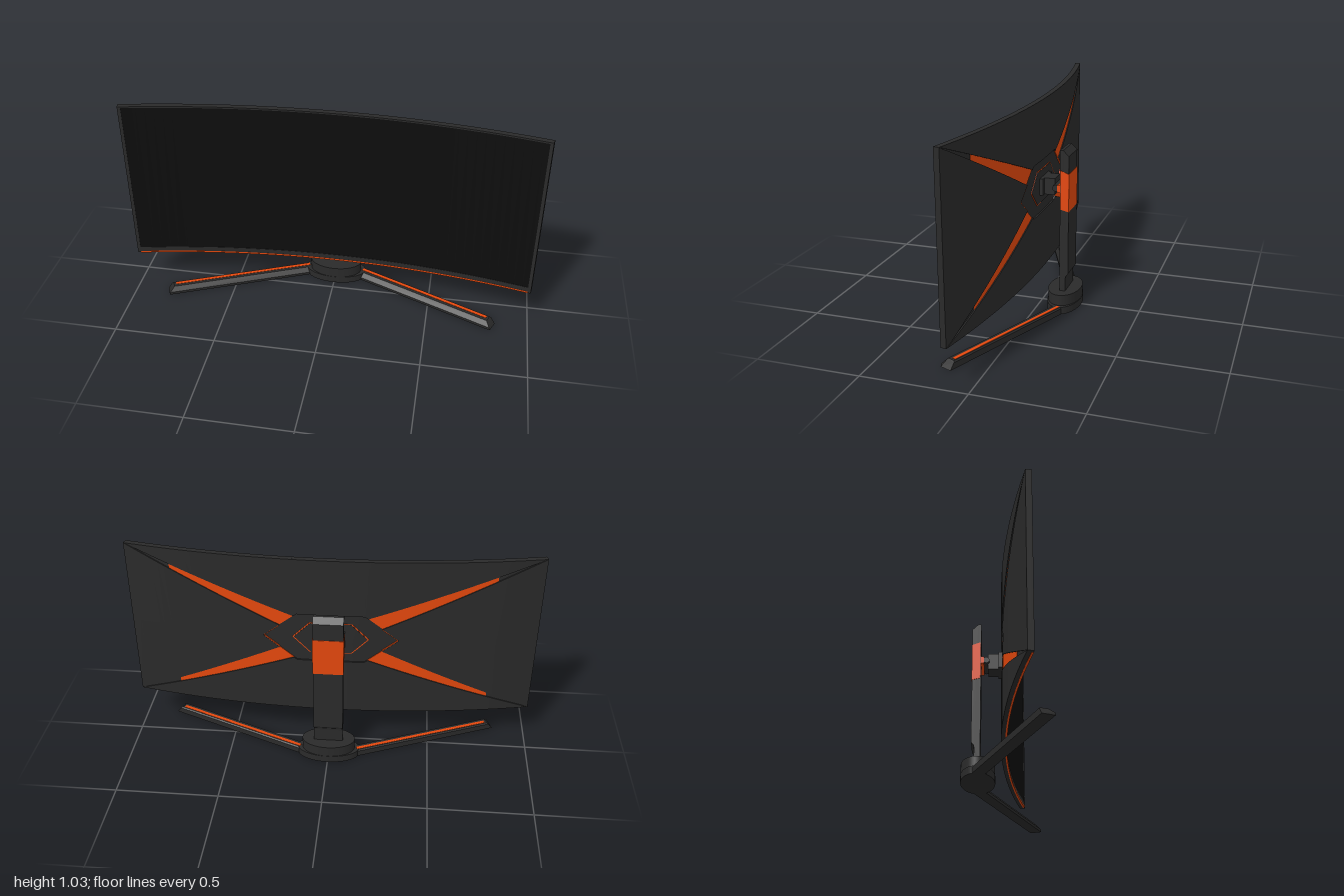
import * as THREE from 'three';
import { mergeGeometries, toCreasedNormals } from 'three/addons/utils/BufferGeometryUtils.js';

const dark = new THREE.MeshStandardMaterial({ color: 0x2a2a2a });
const black = new THREE.MeshStandardMaterial({ color: 0x0d0d0d });
const orange = new THREE.MeshStandardMaterial({ color: 0xe5480d });

const R = 4.81, BACK_Z = -0.013, MID_Y = 0.6125, H = 0.4225;

// Point on the curved display: x across, v above its middle, d forward of its back
function bend(x, v, d) {
  const c = Math.sqrt(R * R - x * x);
  return [x - (x / R) * d, MID_Y + v, BACK_Z + R - c + (c / R) * d];
}

// Height of a piecewise linear outline at x
function heightAt(line, x) {
  for (let i = 1; i < line.length; i++) {
    const [x0, y0] = line[i - 1], [x1, y1] = line[i];
    if (x <= x1 + 1e-9) return y0 + ((y1 - y0) * (x - x0)) / (x1 - x0);
  }
  return line[line.length - 1][1];
}

// Curved solid between two outlines (right half only) and two depths
function slab(lo, hi, d0, d1, sx, sy) {
  const x0 = lo[0][0], x1 = lo[lo.length - 1][0];
  const stops = [...lo, ...hi].map(p => p[0]);
  for (let i = 0; i <= 24; i++) stops.push(i / 24);
  const xs = stops.filter(x => x >= x0 && x <= x1).sort((a, b) => a - b)
    .filter((x, i, all) => i === 0 || x - all[i - 1] > 1e-6);
  const rings = xs.map(x => {
    const l = heightAt(lo, x), h = heightAt(hi, x);
    return [[l, d0], [h, d0], [h, d1], [l, d1]].map(([v, d]) => {
      const p = bend(x, v * sy, d);
      return [p[0] * sx, p[1], p[2]];
    });
  });
  const pos = [];
  const tri = (a, b, c) => pos.push(...a, ...(sx * sy > 0 ? [...b, ...c] : [...c, ...b]));
  const quad = (a, b, c, d) => { tri(a, b, c); tri(a, c, d); };
  for (let i = 0; i + 1 < rings.length; i++) {
    for (let k = 0; k < 4; k++) {
      const n = (k + 1) % 4;
      quad(rings[i][k], rings[i][n], rings[i + 1][n], rings[i + 1][k]);
    }
  }
  quad(...rings[rings.length - 1]);
  if (x0 > 0) quad(...[...rings[0]].reverse());
  const g = new THREE.BufferGeometry();
  g.setAttribute('position', new THREE.Float32BufferAttribute(pos, 3));
  return g;
}

export function createModel() {
  const model = new THREE.Group();

  const add = (name, geometry, material, parent = model) => {
    const m = new THREE.Mesh(geometry, material);
    m.name = name;
    parent.add(m);
    return m;
  };
  const box = (name, mat, w, h, d, x, y, z, parent) => {
    const m = add(name, new THREE.BoxGeometry(w, h, d), mat, parent);
    m.position.set(x, y, z);
    return m;
  };
  // Mirrored curved part; upDown also mirrors it about the middle height
  const curved = (name, mat, lo, hi, d0, d1, upDown = false) => {
    const parts = [];
    for (const sx of [1, -1]) for (const sy of upDown ? [1, -1] : [1]) parts.push(slab(lo, hi, d0, d1, sx, sy));
    add(name, toCreasedNormals(mergeGeometries(parts), 0.4), mat);
  };
  const flat = (v, x0 = 0, x1 = 1) => [[x0, v], [x1, v]];

  // Display front: core, raised bezel, screen and lower accent
  const front = 0.028;
  curved('displayCore', dark, flat(-H), flat(H), 0.012, 0.024);
  curved('screen', black, flat(-0.39, 0, 0.985), flat(H - 0.007, 0, 0.985), 0.024, 0.0265);
  curved('topBezel', dark, flat(H - 0.007), flat(H), 0.024, front);
  curved('bottomBezel', dark, flat(-H), flat(-0.39), 0.024, front);
  curved('sideBezel', dark, flat(-0.39, 0.985, 1), flat(H - 0.007, 0.985, 1), 0.024, front);
  curved('bottomAccent', orange, flat(-H - 0.001, 0, 0.985), flat(-H + 0.008, 0, 0.985), 0.02, front + 0.001);

  // Display back: raised sectors around tapering diagonal grooves and a six-sided recess
  const corner = [1, H], tip = [0.33, 0], low = [0.25, 0.063], high = [0.18, 0.118], top = [0.165, 0.13];
  const split = 0.78;
  const lowLine = [low, corner], highLine = [high, corner];
  const grooveLow = [high, low, corner];
  const cut = line => [...line.filter(p => p[0] < split), [split, heightAt(line, split)]];
  const rest = line => [[split, heightAt(line, split)], corner];
  curved('backUpperAndLowerPanels', dark, [[0, 0.13], top, high, corner], flat(H), 0, 0.012, true);
  curved('backSidePanels', dark, [low, tip, [1, 0]], lowLine, 0, 0.012, true);
  curved('diagonalAccents', orange, cut(grooveLow), cut(highLine), 0.005, 0.012, true);
  curved('diagonalGrooveEnds', dark, rest(grooveLow), rest(highLine), 0.006, 0.012, true);
  curved('recessFloor', dark, flat(0, 0, 0.33), [[0, 0.13], top, tip], 0.008, 0.012, true);
  curved('recessEdgeAccent', orange, [[0.25, 0.058], [0.325, 0]], [[0.25, 0.063], [0.325, 0.004]], 0.001, 0.012, true);
  const hexTop = s => [[0, 0.08 * s], [0.1 * s, 0.08 * s], [0.18 * s, 0]];
  curved('mountAccent', orange, flat(0, 0, 0.18 * 1.04), hexTop(1.04), 0.0065, 0.012, true);
  curved('mountPlate', dark, flat(0, 0, 0.18), hexTop(1), 0.005, 0.012, true);

  // Tilt joint between display and column
  box('jointPlate', dark, 0.14, 0.082, 0.022, 0, 0.614, -0.014);
  box('jointBlock', dark, 0.09, 0.082, 0.054, 0, 0.614, -0.049);
  const pin = add('hingePin', new THREE.CylinderGeometry(0.016, 0.016, 0.13, 24), dark);
  pin.rotation.z = Math.PI / 2;
  pin.position.set(0, 0.614, -0.085);
  box('hingeArm', orange, 0.14, 0.036, 0.022, 0, 0.613, -0.106);

  // Column pieces from side profiles given as [z, y]
  const profile = (name, mat, pts, width) => {
    const g = new THREE.ExtrudeGeometry(new THREE.Shape(pts.map(p => new THREE.Vector2(...p))),
      { depth: width, bevelEnabled: false });
    g.translate(0, 0, -width / 2);
    g.rotateY(-Math.PI / 2);
    add(name, g, mat);
  };
  profile('column', dark, [[-0.11, 0.08], [-0.11, 0.805], [-0.125, 0.805], [-0.153, 0.778],
    [-0.153, 0.182], [-0.148, 0.174], [-0.141, 0.167], [-0.139, 0.155], [-0.139, 0.08]], 0.145);
  profile('columnCollar', orange, [[-0.113, 0.512], [-0.113, 0.706], [-0.1545, 0.691], [-0.1545, 0.502]], 0.149);

  // Oval base
  const oval = (name, a, b, y0, y1) => {
    const m = add(name, new THREE.CylinderGeometry(1, 1, y1 - y0, 48), dark);
    m.scale.set(a, 1, b);
    m.position.set(0, (y0 + y1) / 2, -0.121);
  };
  oval('baseFoot', 0.155, 0.082, 0, 0.036);
  oval('baseDrum', 0.132, 0.081, 0.036, 0.09);

  // Splayed legs with a sloped front, cut tip and accent strip
  const angle = 0.398, length = 0.75;
  for (const s of [1, -1]) {
    const leg = new THREE.Group();
    leg.name = s > 0 ? 'leftLeg' : 'rightLeg';
    const section = [[-0.03, 0], [0.03, 0], [0.03, 0.014], [0.012, 0.036], [-0.024, 0.036], [-0.03, 0.03]];
    const g = new THREE.ExtrudeGeometry(
      new THREE.Shape(section.map(([u, y]) => new THREE.Vector2(-s * u, y))),
      { depth: length, bevelEnabled: false });
    g.rotateY(Math.PI / 2);
    const p = g.attributes.position;
    for (let i = 0; i < p.count; i++) {
      if (p.getX(i) > length / 2) p.setX(i, length - Math.max(0, p.getY(i) - 0.01) * 1.1);
    }
    g.computeVertexNormals();
    add('legBody', g, dark, leg);
    box('legAccent', orange, length - 0.04, 0.004, 0.017, (length - 0.04) / 2, 0.0355, -s * 0.012, leg);
    leg.position.set(s * 0.138, 0, -0.115);
    leg.rotation.y = s > 0 ? -angle : Math.PI + angle;
    model.add(leg);
  }

  return model;
}
